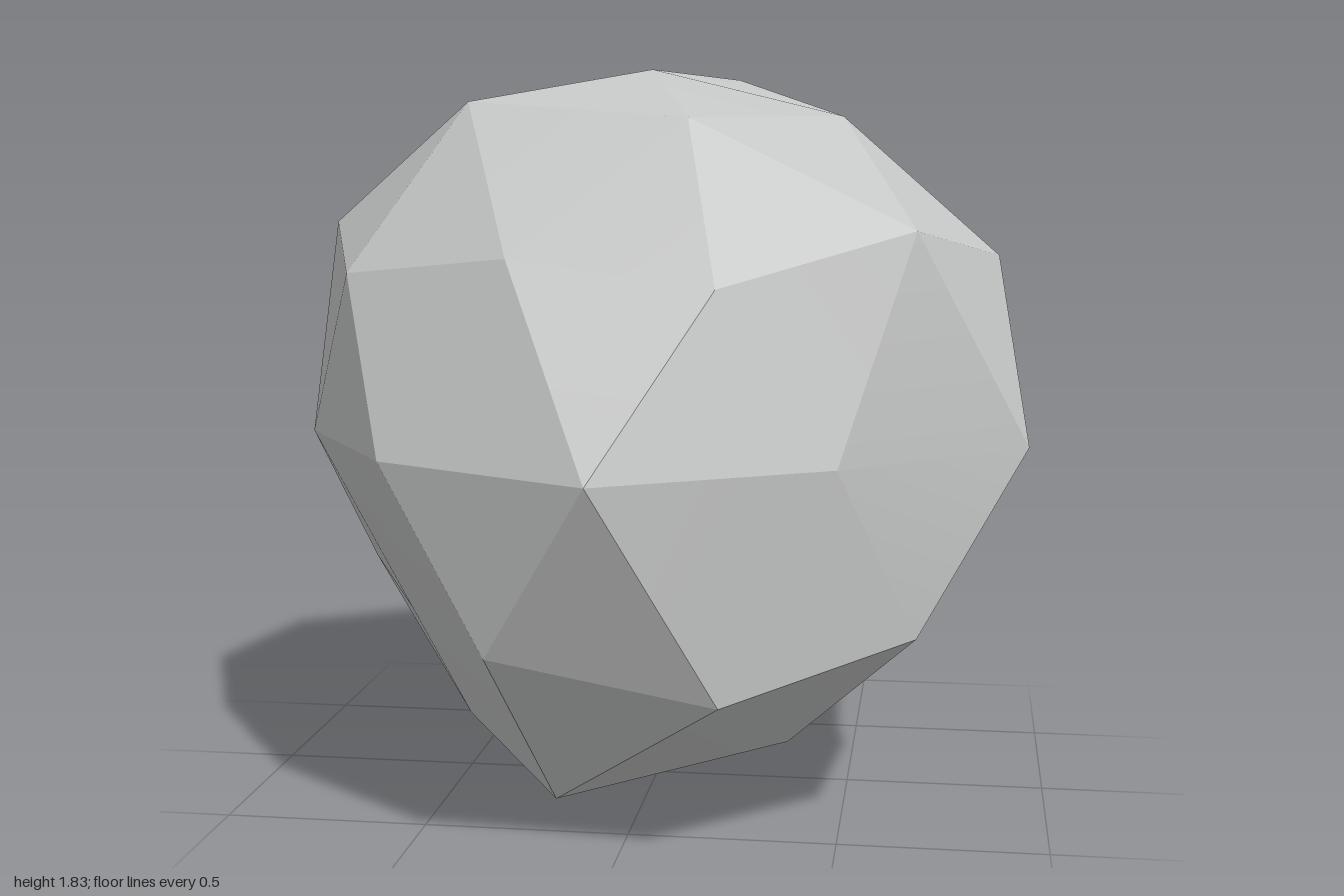
import * as THREE from 'three';
import { toCreasedNormals } from 'three/addons/utils/BufferGeometryUtils.js';

// Distance of every corner from the centre, ring by ring
const equator = [1.02, 0.88, 1.0, 0.893, 0.963, 0.98, 1.0, 0.968, 0.865, 0.903];
const halves = [
  { // upper half
    sign: 1, shift: 0, pole: 0.9,
    inner: [0.915, 0.92, 1.04, 0.99, 0.96],
    outer: [0.9, 0.98, 0.87, 1.04, 0.92],
    between: [0.99, 0.88, 1.0, 0.975, 0.88],
  },
  { // lower half, turned by 36 degrees
    sign: -1, shift: 1, pole: 0.93,
    inner: [0.89, 0.945, 0.92, 0.935, 1.005],
    outer: [0.96, 0.955, 0.89, 0.83, 0.965],
    between: [0.84, 1.025, 0.955, 0.79, 1.005],
  },
];
const centre = new THREE.Vector3(-0.015, 0.93, -0.02);

// Corner at a turn about y (from +z towards +x), a unit height and a radius
function corner(degrees, height, radius) {
  const a = THREE.MathUtils.degToRad(degrees);
  const flat = Math.sqrt(1 - height * height);
  return new THREE.Vector3(Math.sin(a) * flat, height, Math.cos(a) * flat)
    .multiplyScalar(radius).add(centre);
}

function rockGeometry() {
  const points = [];
  const E = equator.map((r, k) => corner(36 * k, 0, r));

  for (const { sign, shift, pole, inner, outer, between } of halves) {
    const turn = 18 + 36 * shift;
    const ring = (radii, start, height) =>
      radii.map((r, i) => corner(start + 72 * i, sign * height, r));
    const P = corner(0, sign, pole);
    const U = ring(inner, turn, 0.8507);
    const R = ring(outer, turn, 0.4472);
    const M = ring(between, turn + 36, 0.5257);
    const face = (a, b, c) => points.push(...(sign > 0 ? [a, b, c] : [a, c, b]));

    for (let i = 0; i < 5; i++) {
      const j = (i + 1) % 5;
      const [e0, e1, e2] = [0, 1, 2].map((k) => E[(2 * i + shift + k) % 10]);
      // cap
      face(P, U[i], U[j]);
      face(U[i], R[i], M[i]);
      face(U[i], M[i], U[j]);
      face(U[j], M[i], R[j]);
      // belt down to the equator
      face(R[i], e0, e1);
      face(R[i], e1, M[i]);
      face(M[i], e1, e2);
      face(M[i], e2, R[j]);
    }
  }
  const geometry = new THREE.BufferGeometry().setFromPoints(points);
  // only almost level neighbours blend into each other
  return toCreasedNormals(geometry, 0.2);
}

export function createModel() {
  const stone = new THREE.MeshStandardMaterial({ color: 0xc5c6c6 });
  stone.name = 'stone grey';

  const rock = new THREE.Mesh(rockGeometry(), stone);
  rock.name = 'rock';

  const model = new THREE.Group();
  model.name = 'boulder';
  model.add(rock);
  return model;
}
